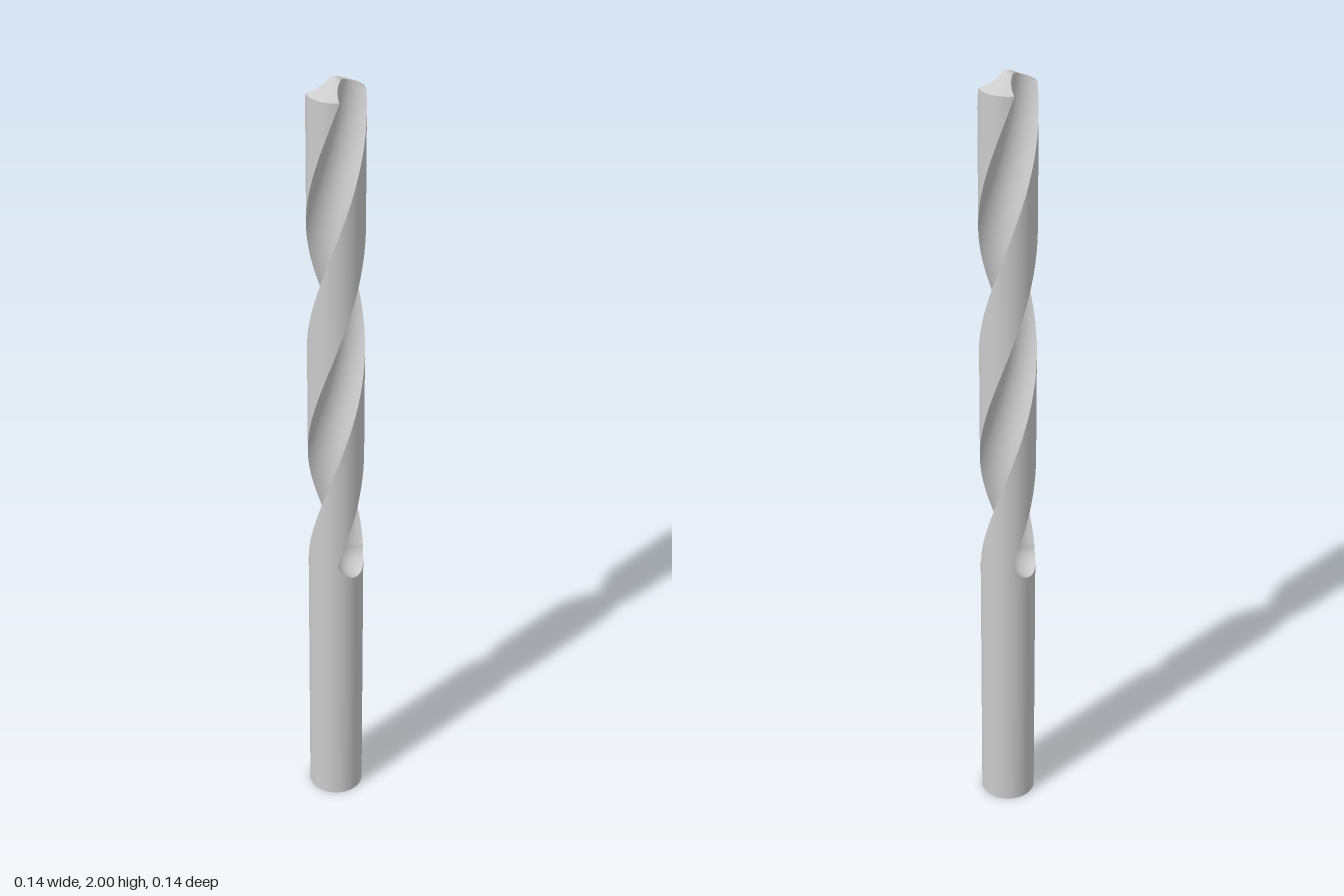
import * as THREE from 'three';

const R = 0.0675;           // drill radius, also the distance of the flute centres
const FLUTE = 0.0545;       // flute radius
const RUNOUT = 0.74;        // height where the rounded flute end begins
const TWIST = 5.15;         // radians per unit of height
const TIP_DROP = 0.035;     // height of the point cone

const twistAt = y => (2.01 - Math.max(y, RUNOUT)) * TWIST;
const coneY = rho => 2 - TIP_DROP * rho / R;

// Half angle of the gap that a flute of radius r cuts into the rim
const gapAngle = r => Math.acos(1 - r * r / (2 * R * R));

// Point on the flute arc, t = 0..1 from the -z corner to the +z corner
function flutePoint(r, t) {
  const a = gapAngle(r);
  const beta = Math.atan2(R * Math.sin(a), R * Math.cos(a) - R);
  const ang = 2 * Math.PI - beta + (2 * beta - 2 * Math.PI) * t;
  return [R + r * Math.cos(ang), r * Math.sin(ang)];
}

// Point on the land arc between the two flutes
function landPoint(r, t) {
  const a = gapAngle(r);
  const ang = a + (Math.PI - 2 * a) * t;
  return [R * Math.cos(ang), R * Math.sin(ang)];
}

// Turn a section point about the axis
function place(x, y, z, turn) {
  const p = twistAt(y) + turn, c = Math.cos(p), s = Math.sin(p);
  return [x * c - z * s, y, x * s + z * c];
}

// Smooth surface over a grid of points
function grid(rows, cols, fn) {
  const pos = [], index = [];
  for (let i = 0; i <= rows; i++) {
    for (let j = 0; j <= cols; j++) {
      pos.push(...fn(i, j / cols));
      if (i < rows && j < cols) {
        const a = i * (cols + 1) + j, b = a + cols + 1;
        index.push(a, b, a + 1, b, b + 1, a + 1);
      }
    }
  }
  const g = new THREE.BufferGeometry();
  g.setAttribute('position', new THREE.Float32BufferAttribute(pos, 3));
  g.setIndex(index);
  g.computeVertexNormals();
  return g;
}

// Strip following the twist: rounded run-out rows first, then the helix up to the cone
const END_ROWS = 16, HELIX_ROWS = 130;
function strip(section, cols, turn) {
  return grid(END_ROWS + HELIX_ROWS, cols, (i, t) => {
    const s = Math.min(i / END_ROWS, 1) * Math.PI / 2;
    const [x, z] = section(FLUTE * Math.sin(s), t);
    let y = RUNOUT - FLUTE * Math.cos(s);
    if (i > END_ROWS) {
      const top = coneY(Math.hypot(x, z));
      y = RUNOUT + (top - RUNOUT) * (i - END_ROWS) / HELIX_ROWS;
    }
    return place(x, y, z, turn);
  });
}

export function createModel() {
  const group = new THREE.Group();
  const material = new THREE.MeshStandardMaterial({ color: 0xcccccc });
  const add = (name, geometry) => {
    const mesh = new THREE.Mesh(geometry, material);
    mesh.name = name;
    group.add(mesh);
    return mesh;
  };

  // Plain round shank
  const shankHeight = RUNOUT - FLUTE;
  add('shank', new THREE.CylinderGeometry(R, R, shankHeight, 64)).position.y = shankHeight / 2;

  // Two flutes and two lands, half a turn apart
  for (const turn of [0, Math.PI]) {
    add('flute', strip(flutePoint, 24, turn));
    const land = strip(landPoint, 32, turn);
    const p = land.attributes.position, n = land.attributes.normal;
    for (let i = 0; i < p.count; i++) n.setXYZ(i, p.getX(i) / R, 0, p.getZ(i) / R);
    add('land', land);
  }

  // Cutting point: cone over the web section, row by row from -z to +z
  const chain = [];
  for (let i = 0; i < 16; i++) {
    const [x, z] = landPoint(FLUTE, 0.5 - i / 32);
    chain.push([x, -z]);
  }
  for (let i = 0; i <= 24; i++) chain.push(flutePoint(FLUTE, i / 24));
  for (let i = 1; i <= 16; i++) chain.push(landPoint(FLUTE, i / 32));
  add('cuttingPoint', grid(chain.length - 1, 16, (i, t) => {
    const x = chain[i][0] * (2 * t - 1), z = chain[i][1];
    return place(x, coneY(Math.hypot(x, z)), z, 0);
  }));

  return group;
}
